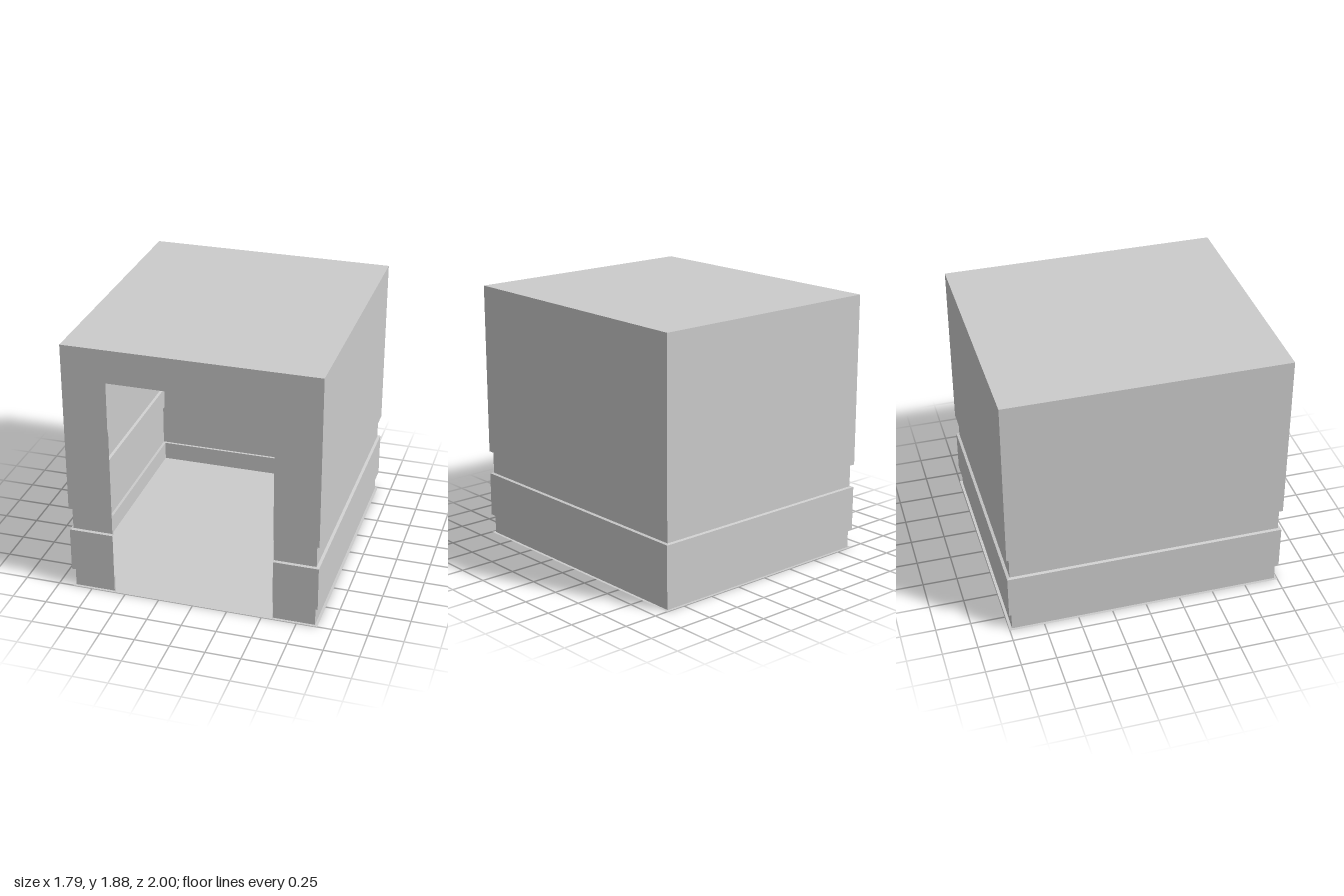
import * as THREE from 'three';

const W = 0.897, D = 1, H = 1.885, DOOR = 0.578, GROOVE = 0.02;

// Wall profile from the ground up: [height, inset, half width of the doorway]
const PROFILE = [
  [0, GROOVE, DOOR], [0.14, GROOVE, DOOR],
  [0.14, 0, DOOR], [0.465, 0, DOOR],
  [0.47, GROOVE, DOOR], [0.632, GROOVE, DOOR],
  [0.636, 0, DOOR], [1.28, 0, DOOR],
  [1.28, 0, DOOR + 0.005], [1.645, 0, DOOR + 0.005],
  [1.645, 0, 0], [H, 0, 0],
];

// Plan of the walls at one height, from one door edge round to the other
function wallPlan([y, inset, door]) {
  const x = W - inset, z = D - inset;
  return [[door, z], [x, z], [x, -z], [-x, -z], [-x, z], [-door, z]]
    .map(([px, pz]) => [px, y, pz]);
}

function wallGeometry() {
  const rows = PROFILE.map(wallPlan), pos = [];
  for (let r = 0; r < rows.length - 1; r++) {
    for (let i = 0; i < rows[r].length - 1; i++) {
      const a = rows[r][i], b = rows[r][i + 1];
      const c = rows[r + 1][i + 1], d = rows[r + 1][i];
      pos.push(...a, ...b, ...c, ...a, ...c, ...d);
    }
  }
  const g = new THREE.BufferGeometry();
  g.setAttribute('position', new THREE.Float32BufferAttribute(pos, 3));
  g.computeVertexNormals();
  return g;
}

export function createModel() {
  const group = new THREE.Group();
  group.name = 'hollowBoothWithDoorway';
  const material = new THREE.MeshStandardMaterial({ color: 0xcccccc, side: THREE.DoubleSide });
  const add = (name, geometry) => {
    const mesh = new THREE.Mesh(geometry, material);
    mesh.name = name;
    group.add(mesh);
    return mesh;
  };

  // Thin banded walls with the doorway left open at the front
  add('walls', wallGeometry());

  // Roof and floor sheets; the floor shows as a small lip round the base
  const sheet = () => new THREE.PlaneGeometry(2 * W, 2 * D).rotateX(-Math.PI / 2);
  add('roof', sheet()).position.y = H;
  add('floor', sheet());

  // Short door jamb strips that close the ends of the two grooves
  for (const side of [-1, 1]) {
    for (const [y0, y1] of [[0, 0.14], [0.466, 0.635]]) {
      const strip = new THREE.PlaneGeometry(GROOVE, y1 - y0).rotateY(Math.PI / 2);
      add(side > 0 ? 'leftJambStrip' : 'rightJambStrip', strip)
        .position.set(side * DOOR, (y0 + y1) / 2, D - GROOVE / 2);
    }
  }
  return group;
}
